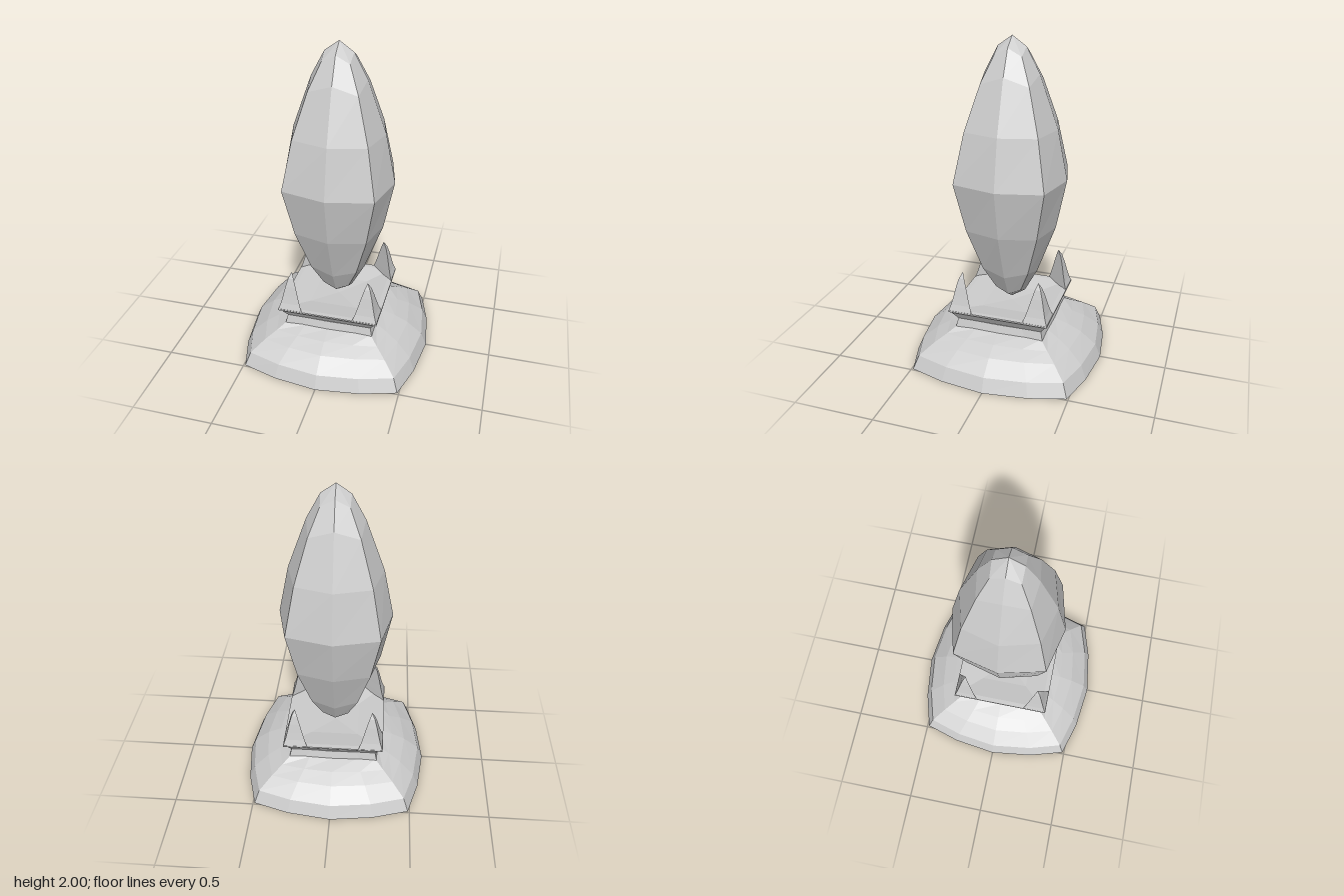
import * as THREE from 'three';

const material = new THREE.MeshStandardMaterial({ color: 0xcccccc, flatShading: true });

// Skin a stack of rings (arrays of [x, y, z]), listed so that the outside faces out
function loft(name, rings) {
  const pos = [];
  const same = (p, q) => p.every((v, i) => Math.abs(v - q[i]) < 1e-6);
  const tri = (a, b, c) => {
    if (!same(a, b) && !same(b, c) && !same(a, c)) pos.push(...a, ...b, ...c);
  };
  for (let r = 0; r < rings.length - 1; r++) {
    const lo = rings[r], hi = rings[r + 1], n = lo.length;
    for (let i = 0; i < n; i++) {
      const j = (i + 1) % n;
      tri(lo[i], lo[j], hi[j]);
      tri(lo[i], hi[j], hi[i]);
    }
  }
  const geometry = new THREE.BufferGeometry();
  geometry.setAttribute('position', new THREE.Float32BufferAttribute(pos, 3));
  geometry.computeVertexNormals();
  const mesh = new THREE.Mesh(geometry, material);
  mesh.name = name;
  return mesh;
}

// Repeat the points of one side around the four sides
function fourSides(side) {
  const ring = [];
  for (let k = 0; k < 4; k++) {
    for (const [x0, y, z0] of side) {
      let x = x0, z = z0;
      for (let t = 0; t < k; t++) [x, z] = [z, -x];
      ring.push([x, y, z]);
    }
  }
  return ring;
}

// Bulged square: mid = half width at side centre, corner = half width at corner
const bulged = (mid, midY, corner, cornerY = midY) => {
  const q = 0.55 * corner, z = mid - 0.35 * (mid - corner);
  const y = midY + (cornerY - midY) * 0.35;
  return fourSides([[-corner, cornerY, corner], [-q, y, z], [0, midY, mid], [q, y, z]]);
};
const octagon = (mid, midY, corner, cornerY = midY) =>
  fourSides([[-corner, cornerY, corner], [0, midY, mid]]);
const square = (half, y) => fourSides([[-half, y, half]]);

export function createModel() {
  const model = new THREE.Group();
  model.name = 'crystalOnPedestal';

  // Stepped, bulging foot
  model.add(loft('foot', [
    bulged(0, 0, 0),
    bulged(0.59, 0, 0.49),
    bulged(0.555, 0.085, 0.46),
    bulged(0.46, 0.16, 0.385, 0.15),
    bulged(0.375, 0.2, 0.325, 0.19),
    bulged(0.285, 0.23, 0.272),
    bulged(0.272, 0.28, 0.26),
    bulged(0, 0.28, 0),
  ]));

  // Square collar with a shallow dished top
  model.add(loft('collar', [
    square(0, 0.22),
    square(0.28, 0.225),
    square(0.268, 0.28),
    square(0.3, 0.33),
    square(0.315, 0.34),
    square(0.315, 0.35),
    square(0.285, 0.35),
    square(0.15, 0.325),
    square(0, 0.315),
  ]));

  // Four curved claws, one on each corner: [height, outer edge, inner end of the arms]
  const clawLevels = [
    [0.345, 0.315, 0.16], [0.39, 0.3, 0.177], [0.44, 0.288, 0.192],
    [0.5, 0.275, 0.208], [0.555, 0.26, 0.225], [0.595, 0.24, 0.24],
  ];
  const claws = new THREE.Group();
  claws.name = 'claws';
  for (let k = 0; k < 4; k++) {
    const claw = loft('claw', [
      Array(3).fill([0.26, 0.345, 0.26]),
      ...clawLevels.map(([y, out, inn]) => [[inn, y, out], [out, y, out], [out, y, inn]]),
    ]);
    claw.rotation.y = k * Math.PI / 2;
    claws.add(claw);
  }
  model.add(claws);

  // Eight-sided faceted crystal
  model.add(loft('crystal', [
    octagon(0, 0.345, 0),
    octagon(0.085, 0.4, 0.082, 0.44),
    octagon(0.165, 0.55, 0.145, 0.59),
    octagon(0.278, 0.86, 0.22),
    octagon(0.34, 1.17, 0.275),
    octagon(0.278, 1.475, 0.22),
    octagon(0.165, 1.79, 0.145, 1.74),
    octagon(0.085, 1.94, 0.082, 1.895),
    octagon(0, 2, 0),
  ]));

  return model;
}
